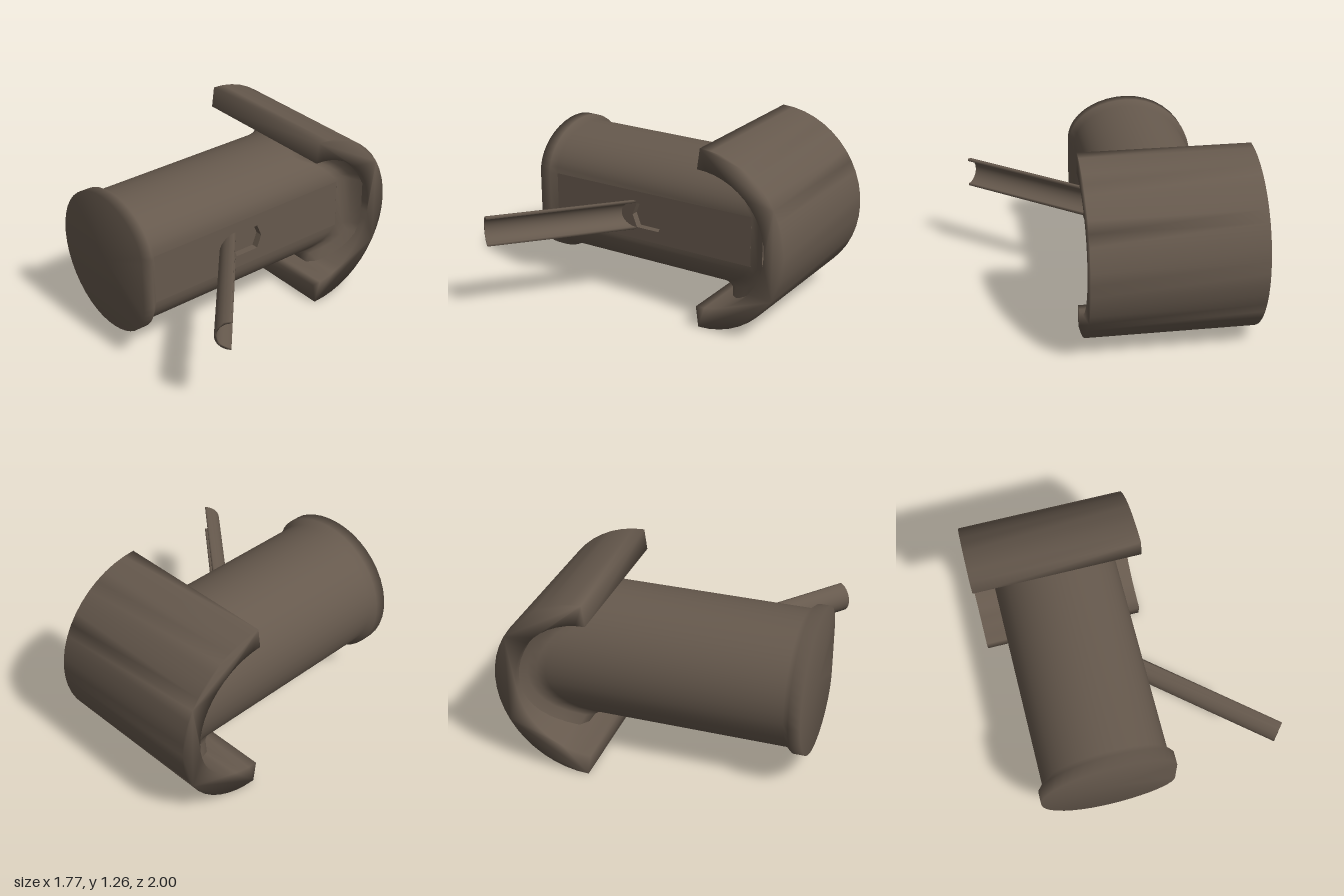
import * as THREE from 'three';
import { mergeVertices } from 'three/addons/utils/BufferGeometryUtils.js';

const CX = -0.29, CY = 0.63;          // axis of the body
const FLAT = 0.175;                   // half height of the flat side

// Weld a geometry and smooth it all over
function smooth(geo) {
  geo.deleteAttribute('normal');
  geo.deleteAttribute('uv');
  const g = mergeVertices(geo, 1e-4);
  g.computeVertexNormals();
  return g;
}

// Round section with a flattened +x side, grown outward by o
function section(o) {
  const pts = [], n = 10, m = 20;
  for (let i = 0; i < n; i++) {
    const t = (Math.PI / 2) * (1 - i / n);
    pts.push([(0.39 + o) * Math.sin(t), FLAT + (0.275 + o) * Math.cos(t)]);
  }
  for (let i = 0; i <= m; i++) {
    const a = Math.PI / 2 + (Math.PI * i) / m;
    pts.push([(0.45 + o) * Math.cos(a), (0.45 + o) * Math.sin(a)]);
  }
  for (let i = n - 1; i >= 0; i--) pts.push([pts[i][0], -pts[i][1]]);
  return pts;
}

// Depth of the shell's inner wall at height y from the axis
const wallZ = (y) => -0.355 - 0.5 * Math.sqrt(Math.max(0, 1 - (y / 0.485) ** 2));

function bodyGeometry() {
  const base = section(0), flare = section(0.11);
  const rings = [[0.035, 1], [0.035, 0.92], [0, 0.88]].map(([o, z]) =>
    section(o).map(([x, y]) => [x, y, z]));
  // rear fillet spreading onto the curved shell
  for (const k of [0, 0.4, 0.75, 1]) {
    const out = 1 - Math.sqrt(1 - k * k);
    rings.push(base.map(([x, y], j) => {
      const limit = THREE.MathUtils.clamp(flare[j][1], -0.465, 0.465);
      const end = wallZ(limit) - 0.005;
      const start = wallZ(limit) + 0.02 + 0.12 * Math.min(1, Math.abs(x) / 0.39);
      return [
        x + (flare[j][0] - x) * out,
        y + (limit - y) * out,
        start + (end - start) * k,
      ];
    }));
  }
  const n = base.length, pos = [], idx = [];
  rings.forEach((r) => r.forEach(([x, y, z]) => pos.push(x + CX, y + CY, z)));
  for (let i = 0; i < rings.length - 1; i++) {
    for (let j = 0; j < n; j++) {
      if (i === 2 && j === n - 1) continue; // left open for the side panel
      const k = (j + 1) % n, a = i * n + j, b = i * n + k;
      idx.push(a, a + n, b, b, a + n, b + n);
    }
  }
  // front end
  const c = pos.length / 3;
  pos.push(CX, CY, 1);
  for (let j = 0; j < n; j++) idx.push(c, j, (j + 1) % n);
  const g = new THREE.BufferGeometry();
  g.setAttribute('position', new THREE.Float32BufferAttribute(pos, 3));
  g.setIndex(idx);
  g.computeVertexNormals();
  return g;
}

// C-shaped band extruded across the model
function shellGeometry() {
  const s = new THREE.Shape(), n = 24;
  const arc = (i, cz, rz, ry) => {
    const a = Math.PI / 2 + (Math.PI * i) / n;
    return [cz + rz * Math.cos(a), CY + ry * Math.sin(a)];
  };
  s.moveTo(...arc(0, -0.375, 0.625, 0.63));
  for (let i = 1; i <= n; i++) s.lineTo(...arc(i, -0.375, 0.625, 0.63));
  for (let i = n; i >= 0; i--) s.lineTo(...arc(i, -0.355, 0.5, 0.485));
  const g = new THREE.ExtrudeGeometry(s, { depth: 1.135, bevelEnabled: false });
  g.rotateY(-Math.PI / 2).translate(0.245, 0, 0);
  return smooth(g);
}

// Half pipe running out from the flat side
function channelGeometry() {
  const s = new THREE.Shape();
  s.absarc(0, 0, 0.105, -Math.PI / 2, Math.PI / 2, false);
  s.absarc(0, 0, 0.088, Math.PI / 2, -Math.PI / 2, true);
  const g = new THREE.ExtrudeGeometry(s, { depth: 1.04, bevelEnabled: false, curveSegments: 14 });
  g.rotateY(Math.atan2(-0.765, -0.643)).translate(0.885, CY, 0.88);
  return smooth(g);
}

export function createModel() {
  const group = new THREE.Group();
  const brown = new THREE.MeshStandardMaterial({ color: 0x66594d, side: THREE.DoubleSide });
  brown.name = 'dark brown';
  const add = (name, geo) => {
    const mesh = new THREE.Mesh(geo, brown);
    mesh.name = name;
    group.add(mesh);
    return mesh;
  };

  add('body', bodyGeometry());
  add('rearShell', shellGeometry());
  add('sideChannel', channelGeometry());

  // flat side panel with a hexagonal socket
  const hex = [[0.1225, 0], [0.0875, 0.0875], [-0.0875, 0.0875],
    [-0.1225, 0], [-0.0875, -0.0875], [0.0875, -0.0875]]
    .map(([x, y]) => new THREE.Vector2(x - 0.1225, y));
  const panel = new THREE.Shape([[-0.88, -FLAT], [0.681, -FLAT], [0.681, FLAT], [-0.88, FLAT]]
    .map(([x, y]) => new THREE.Vector2(x, y)));
  panel.holes.push(new THREE.Path(hex));
  add('sidePanel', new THREE.ExtrudeGeometry(panel, { depth: 0.05, bevelEnabled: false })
    .rotateY(Math.PI / 2).translate(0.05, CY, 0));
  add('socketFloor', new THREE.ShapeGeometry(new THREE.Shape(hex))
    .rotateY(Math.PI / 2).translate(0.05, CY, 0));

  return group;
}
